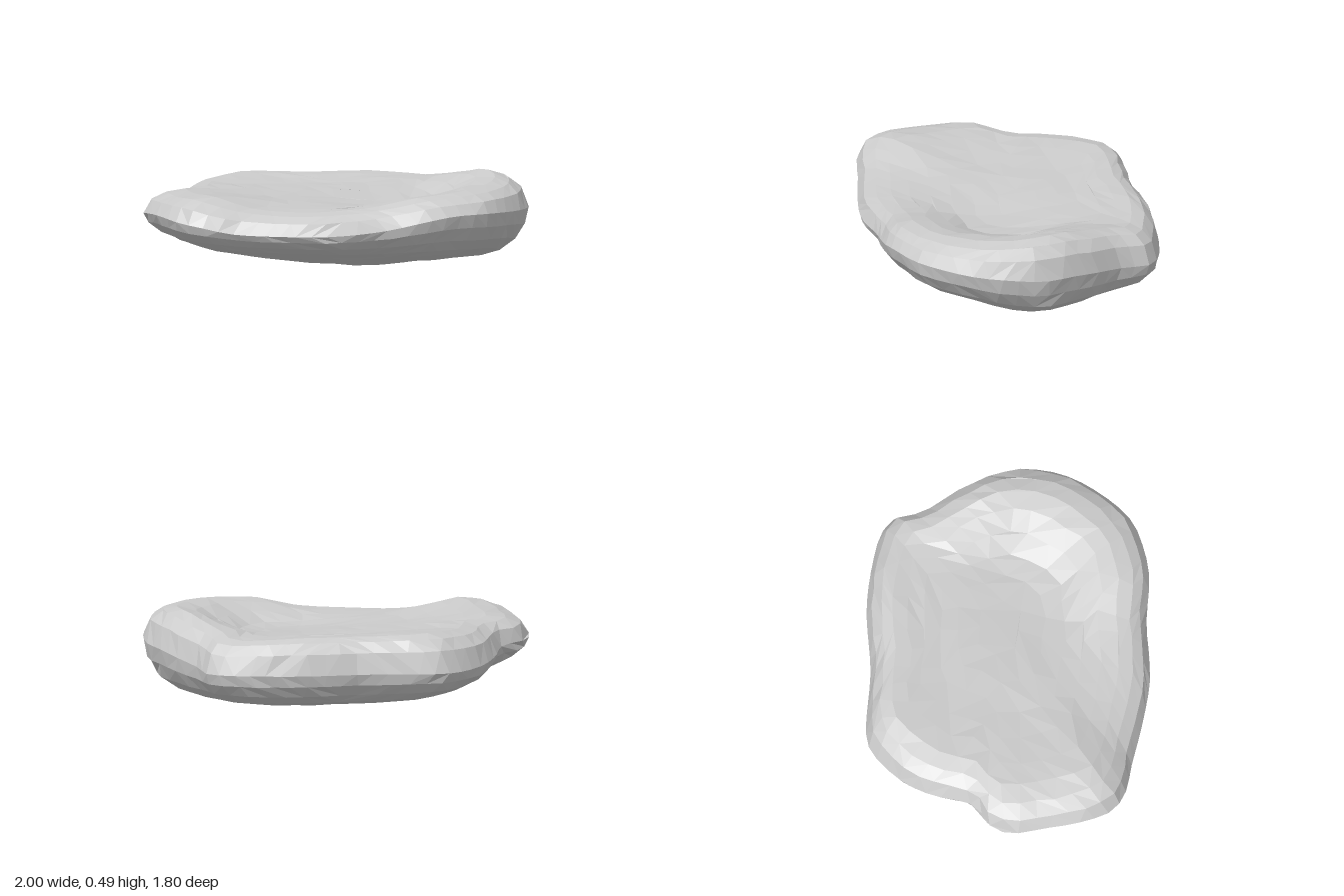
import * as THREE from 'three';

// Outline of the slab: [x, z, height of widest point, rim crest height, underside height]
const OUTLINE = [
  [1.0, -0.13, 0.24, 0.41, 0.06], [0.95, 0.0, 0.25, 0.43, 0.05], [0.945, 0.2, 0.28, 0.46, 0.045],
  [0.93, 0.35, 0.3, 0.485, 0.045], [0.89, 0.52, 0.31, 0.49, 0.05], [0.78, 0.68, 0.33, 0.48, 0.07],
  [0.62, 0.8, 0.34, 0.47, 0.1], [0.32, 0.9, 0.36, 0.46, 0.12], [0.13, 0.87, 0.36, 0.45, 0.125],
  [0.0, 0.82, 0.34, 0.44, 0.125], [-0.2, 0.68, 0.29, 0.4, 0.12], [-0.45, 0.55, 0.27, 0.38, 0.125],
  [-0.65, 0.38, 0.27, 0.375, 0.13], [-0.83, 0.2, 0.28, 0.39, 0.135], [-0.94, 0.1, 0.31, 0.42, 0.14],
  [-1.0, -0.02, 0.33, 0.45, 0.14], [-0.97, -0.2, 0.34, 0.44, 0.14], [-0.9, -0.37, 0.33, 0.43, 0.14],
  [-0.82, -0.54, 0.31, 0.43, 0.13], [-0.73, -0.6, 0.3, 0.42, 0.12], [-0.59, -0.61, 0.29, 0.42, 0.115],
  [-0.41, -0.77, 0.27, 0.415, 0.09], [-0.27, -0.85, 0.25, 0.42, 0.08], [-0.08, -0.9, 0.24, 0.43, 0.075],
  [0.03, -0.89, 0.24, 0.43, 0.07], [0.35, -0.67, 0.24, 0.42, 0.06], [0.65, -0.51, 0.24, 0.42, 0.055],
  [0.85, -0.35, 0.24, 0.41, 0.055], [0.97, -0.22, 0.24, 0.4, 0.06],
];
const CENTRE = { x: 0.18, z: 0 };
const CREST = 0.8; // radial position of the rim crest
const BELLY = 0.72; // radial position where the side turns into the underside

// Radial position of each ring, from the middle to the outline
const TOP_RINGS = [0, 0.15, 0.3, 0.44, 0.57, 0.69, 0.8, 0.89, 0.96, 1];
const BOTTOM_RINGS = [0, 0.15, 0.3, 0.45, 0.59, 0.72, 0.83, 0.92, 0.98, 1];
const M = TOP_RINGS.length - 1;

const edge = new THREE.CatmullRomCurve3(
  OUTLINE.map(([x, z, eq]) => new THREE.Vector3(x, eq, z)), true);
const heights = new THREE.CatmullRomCurve3(
  OUTLINE.map(([, , , top, bot]) => new THREE.Vector3(top, bot, 0)), true, 'catmullrom');

// Quarter round: 1 at the start radius, 0 at the outline
function quarterRound(f, start) {
  const c = Math.max(0, (f - start) / (1 - start));
  return Math.sqrt(Math.max(0, 1 - c * c));
}

// Top: nearly flat, with a hollow behind the raised front rim
function topHeight(f, x, z, eq, h) {
  const hollow = 0.4 - 0.05 * Math.exp(-((x - 0.18) ** 2 / 0.18 + (z - 0.26) ** 2 / 0.1));
  if (f < CREST) return THREE.MathUtils.lerp(hollow, h.x, THREE.MathUtils.smoothstep(f, 0.4, CREST));
  return eq + (h.x - eq) * quarterRound(f, CREST);
}

// Underside: a shallow bowl that curls up into the side
function bottomHeight(f, x, z, eq, h) {
  const bowl = (r) => h.y * (r / BELLY) ** 1.2;
  return bowl(f) + (eq - bowl(1)) * (1 - quarterRound(f, BELLY));
}

function seededRandom(seed) {
  return () => {
    seed = (seed * 16807) % 2147483647;
    return seed / 2147483647 - 0.5;
  };
}

// Position 0..1 of a grid point along the square ring it lies on
function ringPosition(i, j, k) {
  if (k === 0) return 0;
  let d;
  if (i === k && j > -k) d = j;
  else if (j === k) d = 2 * k - i;
  else if (i === -k) d = 4 * k - j;
  else d = 6 * k + i;
  return (d / (8 * k) + 1) % 1;
}

// One half of the slab: a square grid whose rings are fitted to the outline
function halfSlab(rings, heightAt, facesUp, seed) {
  const rand = seededRandom(seed);
  const pos = [];
  const index = [];
  const size = 2 * M + 1;

  for (let j = -M; j <= M; j++) {
    for (let i = -M; i <= M; i++) {
      const k = Math.max(Math.abs(i), Math.abs(j));
      const t = edge.getUtoTmapping(ringPosition(i, j, k));
      const f = rings[k];
      const p = edge.getPoint(t);
      // The outline itself stays fixed so that both halves meet
      const wobble = k === M ? 0 : f > 0.75 ? 0.012 : 0.03;
      const x = CENTRE.x + (p.x - CENTRE.x) * f + rand() * wobble;
      const z = CENTRE.z + (p.z - CENTRE.z) * f + rand() * wobble;
      const y = heightAt(f, x, z, p.y, heights.getPoint(t));
      pos.push(x, y + rand() * wobble * 0.2, z);
    }
  }

  // Two triangles per cell, with the diagonal varied
  for (let j = 0; j < size - 1; j++) {
    for (let i = 0; i < size - 1; i++) {
      const a = j * size + i, b = a + 1, c = a + size, d = c + 1;
      const tris = rand() > 0 ? [[a, c, b], [b, c, d]] : [[a, c, d], [a, d, b]];
      for (const [p, q, r] of tris) {
        if (facesUp) index.push(p, q, r);
        else index.push(p, r, q);
      }
    }
  }

  const g = new THREE.BufferGeometry();
  g.setAttribute('position', new THREE.Float32BufferAttribute(pos, 3));
  g.setIndex(index);
  g.computeVertexNormals();
  return g;
}

export function createModel() {
  const group = new THREE.Group();
  group.name = 'flatRock';
  const stone = new THREE.MeshStandardMaterial({ color: 0xcccccc, flatShading: true });

  const upper = new THREE.Mesh(halfSlab(TOP_RINGS, topHeight, true, 71), stone);
  upper.name = 'rockTop';
  const lower = new THREE.Mesh(halfSlab(BOTTOM_RINGS, bottomHeight, false, 137), stone);
  lower.name = 'rockUnderside';

  group.add(upper, lower);
  return group;
}
